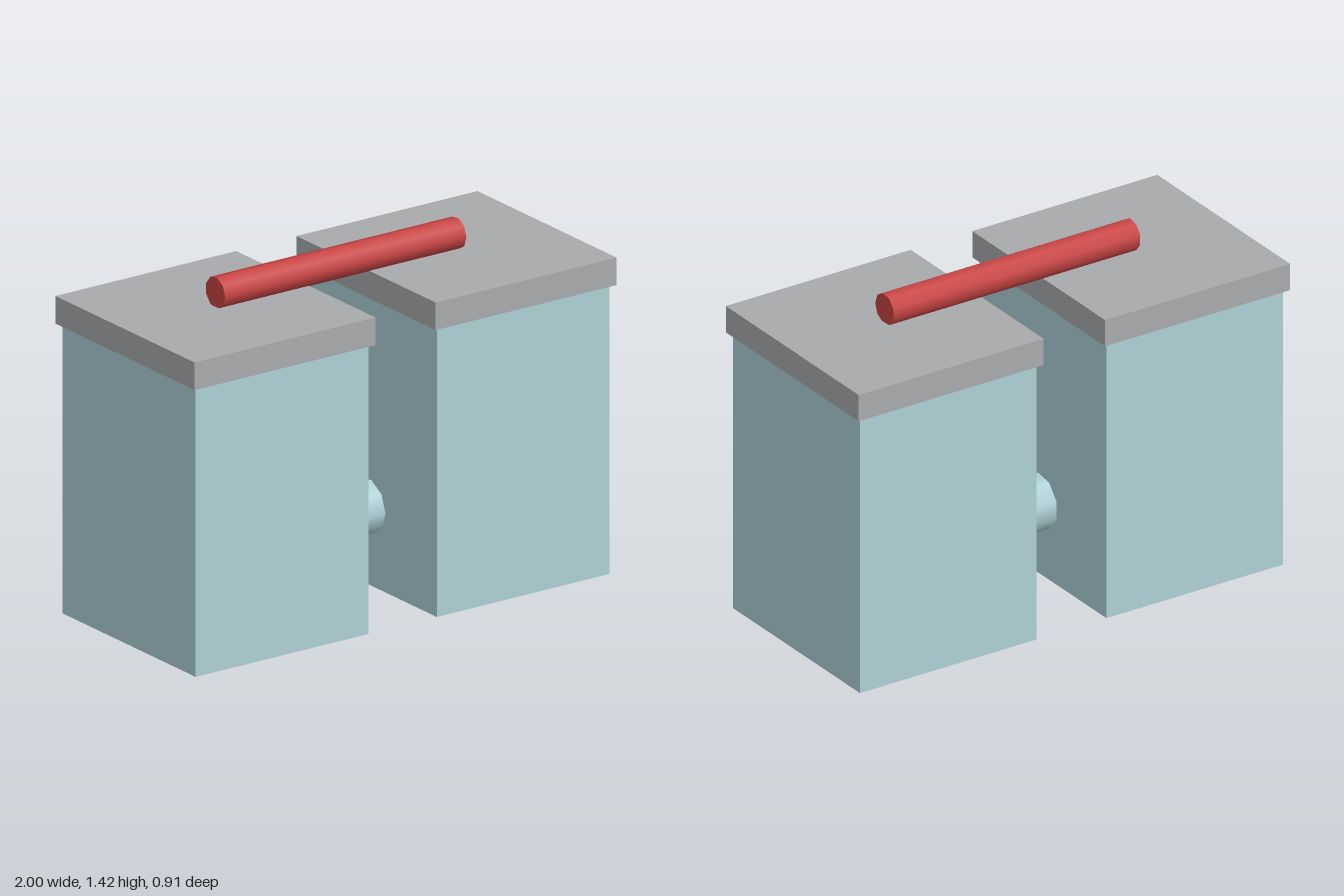
import * as THREE from 'three';

export function createModel() {
  const model = new THREE.Group();
  const paleBlue = new THREE.MeshStandardMaterial({ name: 'paleBlue', color: 0xaed0d6 });
  const lidGrey = new THREE.MeshStandardMaterial({ name: 'lidGrey', color: 0xa8aaac });
  const handleRed = new THREE.MeshStandardMaterial({ name: 'handleRed', color: 0xc84343 });

  const add = (name, geometry, material, x, y) => {
    const mesh = new THREE.Mesh(geometry, material);
    mesh.name = name;
    mesh.position.set(x, y, 0);
    model.add(mesh);
  };

  // Nine-sided smooth rod lying along x
  const rod = (radius, length) =>
    new THREE.CylinderGeometry(radius, radius, length, 9).rotateZ(Math.PI / 2);

  // Two matching boxes, each with an overhanging lid
  const bodyHeight = 1.184, lidHeight = 0.113;
  for (const [side, sign] of [['left', 1], ['right', -1]]) {
    const x = sign * 0.571;
    add(side + 'Body', new THREE.BoxGeometry(0.818, bodyHeight, 0.874), paleBlue, x, bodyHeight / 2);
    add(side + 'Lid', new THREE.BoxGeometry(0.857, lidHeight, 0.914), lidGrey, x, bodyHeight + lidHeight / 2);
  }

  // Pipe between the bodies and handle bar across the lids
  add('connectingPipe', rod(0.113, 0.306), paleBlue, 0, 0.327);
  add('handleBar', rod(0.0645, 1.143), handleRed, 0, 1.355);

  return model;
}
